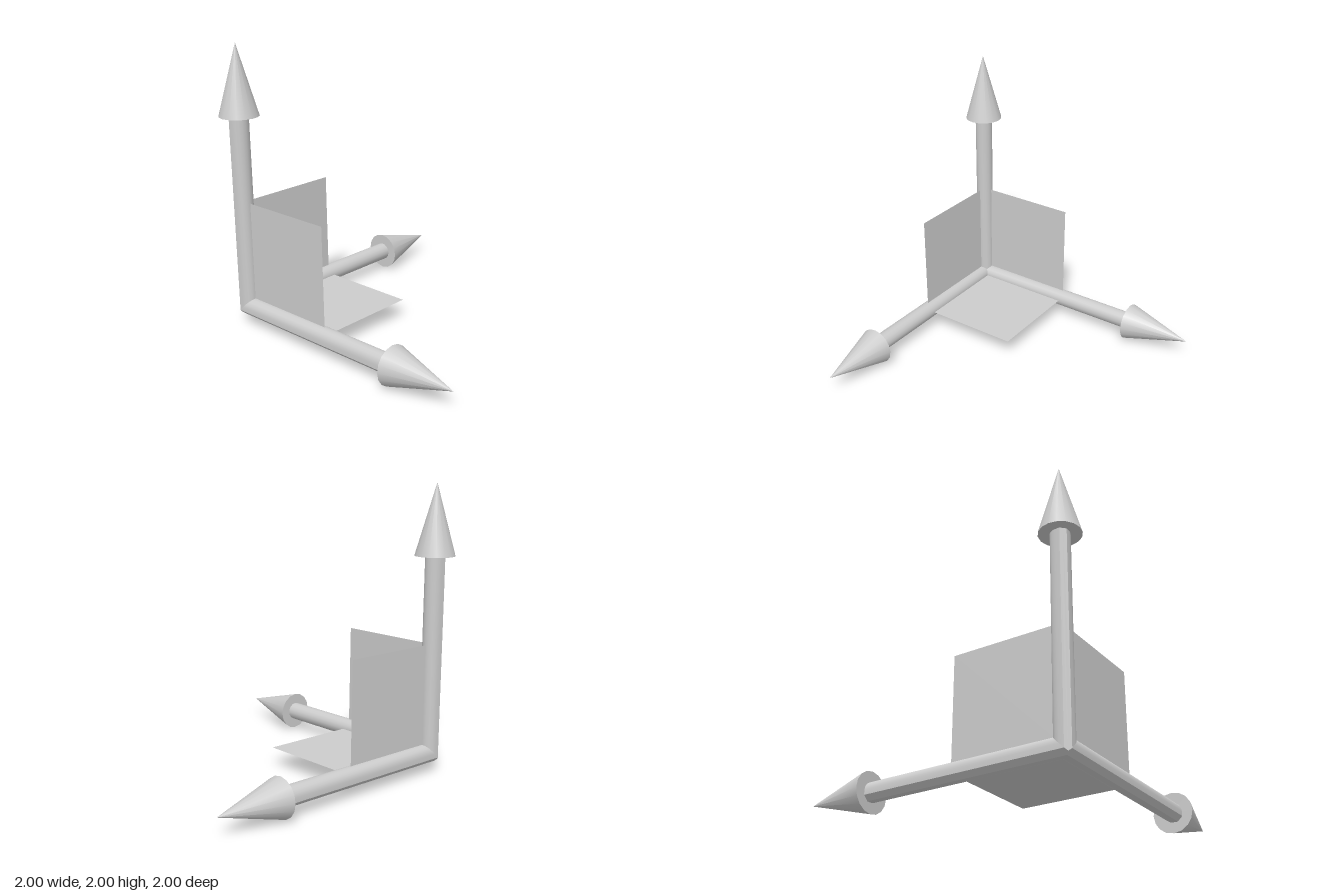
import * as THREE from 'three';
import { toCreasedNormals } from 'three/addons/utils/BufferGeometryUtils.js';

const R = 0.064;        // shaft radius
const SHAFT = 1.373;    // corner to arrowhead base
const LENGTH = 1.863;   // corner to arrow tip
const HEAD_R = 0.137;
const PANEL = 0.768;

// Shaft along +z: round on three quadrants, chamfered on the outer one, mitred at the corner
function shaftGeometry() {
  const points = [];
  for (let i = -4; i <= 8; i++) {
    const a = (i * Math.PI) / 8;
    points.push(new THREE.Vector2(R * Math.cos(a), R * Math.sin(a)));
  }
  for (const [x, y] of [[-1, -0.5], [-0.75, -0.75], [-0.5, -1]]) {
    points.push(new THREE.Vector2(x * R, y * R));
  }
  const geometry = new THREE.ExtrudeGeometry(new THREE.Shape(points), { depth: SHAFT, bevelEnabled: false });
  const p = geometry.attributes.position;
  for (let i = 0; i < p.count; i++) {
    if (p.getZ(i) < 0.001) p.setZ(i, Math.max(p.getX(i), p.getY(i)));
  }
  return toCreasedNormals(geometry, 0.5);
}

export function createModel() {
  const model = new THREE.Group();
  model.name = 'axisArrows';
  const grey = new THREE.MeshStandardMaterial({ color: 0xcccccc });
  const thin = new THREE.MeshStandardMaterial({ color: 0xcccccc, side: THREE.DoubleSide });

  const shaftGeo = shaftGeometry();
  const headGeo = new THREE.ConeGeometry(HEAD_R, LENGTH - SHAFT, 16)
    .rotateX(Math.PI / 2)
    .translate(0, 0, (SHAFT + LENGTH) / 2);
  const panelGeo = new THREE.PlaneGeometry(PANEL, PANEL).translate(PANEL / 2, PANEL / 2, 0);

  const side = new THREE.Vector3(1, 0, 0);
  const up = new THREE.Vector3(0, 1, 0);
  const back = new THREE.Vector3(0, 0, -1);

  // Each arm carries its arrow and the square panel between the other two arms
  const arms = [
    ['sideArrow', back, up, side],
    ['upArrow', side, back, up],
    ['backArrow', up, side, back],
  ];
  for (const [name, a, b, direction] of arms) {
    const arm = new THREE.Group();
    arm.name = name;
    const parts = [['shaft', shaftGeo, grey], ['arrowhead', headGeo, grey], ['panel', panelGeo, thin]];
    for (const [part, geometry, material] of parts) {
      const mesh = new THREE.Mesh(geometry, material);
      mesh.name = part;
      arm.add(mesh);
    }
    arm.quaternion.setFromRotationMatrix(new THREE.Matrix4().makeBasis(a, b, direction));
    arm.position.set(-0.863, 0.137, 0.863);
    model.add(arm);
  }
  return model;
}
